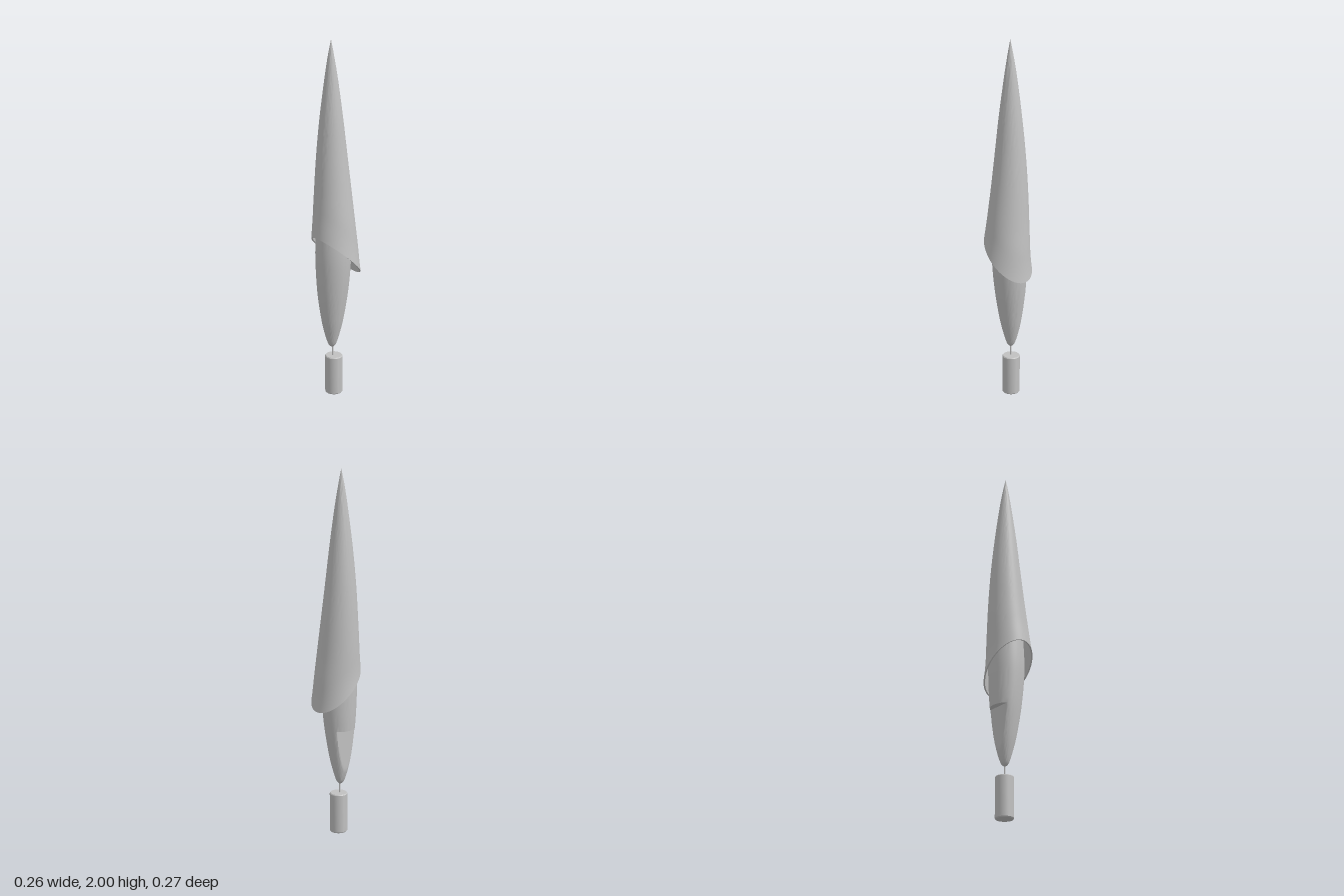
import * as THREE from 'three';
import { toCreasedNormals } from 'three/addons/utils/BufferGeometryUtils.js';

const SEG = 64;

// Straight-line lookup in a short table of [y, ...values], sorted by y.
function lookup(table, y) {
  let i = 0;
  while (i < table.length - 2 && y > table[i + 1][0]) i++;
  const [a, b] = [table[i], table[i + 1]];
  const t = THREE.MathUtils.clamp((y - a[0]) / (b[0] - a[0]), 0, 1);
  return a.slice(1).map((v, k) => v + (b[k + 1] - v) * t);
}

// Smooth version of a table, resampled along a spline through its points.
function smooth(table) {
  const c = table[0].length - 1;
  const curves = [];
  for (let k = 1; k <= c; k++) {
    curves.push(new THREE.SplineCurve(table.map(r => new THREE.Vector2(r[0], r[k]))));
  }
  const n = (table.length - 1) * 8;
  return Array.from({ length: n + 1 }, (_, i) =>
    [curves[0].getPoint(i / n).x, ...curves.map(s => s.getPoint(i / n).y)]);
}

// Closed skin of rings; point(row, angle) gives each corner, rows run upwards.
function loft(rows, point) {
  const pos = [], index = [];
  for (let i = 0; i < rows; i++) {
    for (let j = 0; j < SEG; j++) pos.push(...point(i, j / SEG * Math.PI * 2));
  }
  for (let i = 0; i < rows - 1; i++) {
    for (let j = 0; j < SEG; j++) {
      const a = i * SEG + j, b = i * SEG + (j + 1) % SEG;
      index.push(a, a + SEG, b, b, a + SEG, b + SEG);
    }
  }
  const g = new THREE.BufferGeometry();
  g.setAttribute('position', new THREE.Float32BufferAttribute(pos, 3));
  g.setIndex(index);
  return toCreasedNormals(g, 0.7);
}

export function createModel() {
  const group = new THREE.Group();
  const grey = new THREE.MeshStandardMaterial({ color: 0xc0c0c0, side: THREE.DoubleSide });
  grey.name = 'plain grey';
  const add = (name, geometry) => {
    const m = new THREE.Mesh(geometry, grey);
    m.name = name;
    group.add(m);
    return m;
  };

  // Base: small cylinder with softened edges
  const base = add('base', toCreasedNormals(new THREE.LatheGeometry(
    [[0, 0], [0.045, 0], [0.049, 0.005], [0.049, 0.22], [0.045, 0.225], [0, 0.225]]
      .map(p => new THREE.Vector2(...p)), 40), 0.5));
  base.position.set(-0.025, 0, 0);

  // Stem joining base and bud
  const stem = add('stem', new THREE.CylinderGeometry(0.004, 0.004, 0.1, 12));
  stem.position.set(-0.028, 0.255, 0.006);

  // Inner bud: y, radius, centre x
  const bud = smooth([
    [0.275, 0.003, -0.03], [0.295, 0.021, -0.03], [0.36, 0.041, -0.03], [0.45, 0.06, -0.028],
    [0.6, 0.081, -0.025], [0.75, 0.092, -0.021], [0.87, 0.094, -0.02], [1.05, 0.085, -0.02],
  ]);
  const STEP = 0.597;
  const budPoint = (y, angle, cut) => {
    const [r, cx] = lookup(bud, y);
    const x = cx + r * Math.cos(angle);
    return [cut ? Math.max(x, -0.071) : x, y, 0.008 + r * 1.06 * Math.sin(angle)];
  };
  // Lower part is cut flat on one side, leaving the overlapping edge above it
  const low = 24, high = 14;
  add('innerBud', loft(low + high, (i, angle) => i < low
    ? budPoint(0.275 + (STEP - 0.275) * (i / (low - 1)) ** 1.6, angle, true)
    : budPoint(STEP + (1.05 - STEP) * (i - low) / (high - 1), angle, false)));

  // Outer wrap: y, radius, centre x, centre z
  const wrap = smooth([
    [0.7, 0.122, 0, 0], [0.85, 0.121, -0.002, 0.002], [1.0, 0.116, -0.01, 0.01],
    [1.2, 0.1, -0.021, 0.01], [1.4, 0.082, -0.028, 0.011], [1.6, 0.061, -0.03, 0.012],
    [1.8, 0.035, -0.031, 0.012], [1.92, 0.016, -0.031, 0.013], [2.0, 0.0005, -0.03, 0.013],
  ]);
  const rimY = angle => 0.828 + 0.122 * Math.sin(angle);
  const wrapPoint = (y, angle, inset) => {
    const [r, cx, cz] = lookup(wrap, y);
    const flare = 0.01 * Math.max(0, 1 - (y - rimY(angle)) / 0.15) ** 2;
    const R = Math.max(r + flare - inset, 0.0003);
    return [cx + R * Math.cos(angle), y, cz + R * Math.sin(angle)];
  };
  // Lining rows run down to the slanted rim, then the outside runs up to the tip
  const lining = 8, outside = 60;
  add('outerWrap', loft(lining + outside, (i, angle) => {
    const rim = rimY(angle);
    if (i < lining) return wrapPoint(rim + 0.2 * (1 - i / (lining - 1)), angle, 0.008);
    return wrapPoint(rim + (2 - rim) * (i - lining) / (outside - 1), angle, 0);
  }));

  return group;
}
